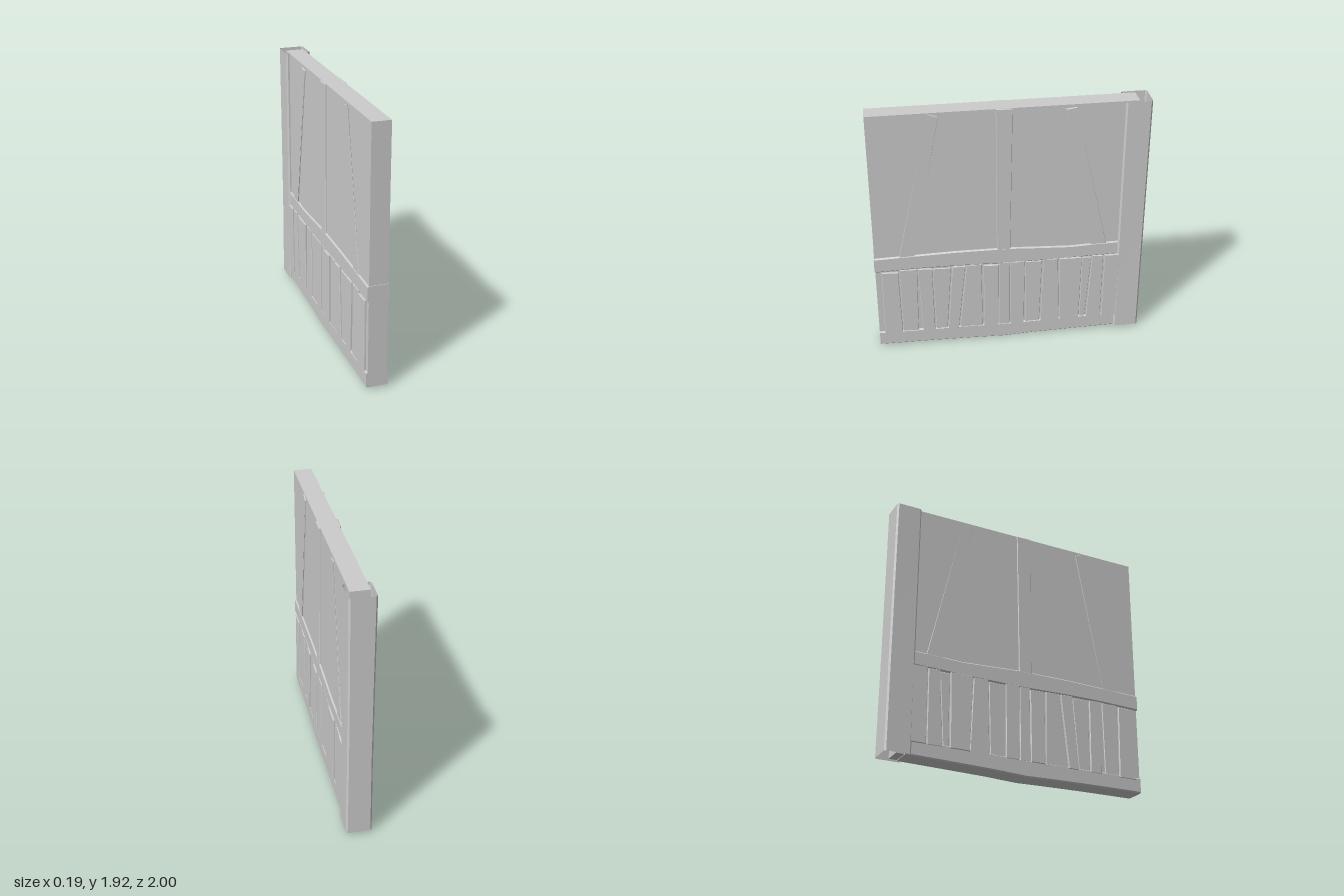
import * as THREE from 'three';
import { toCreasedNormals } from 'three/addons/utils/BufferGeometryUtils.js';

const plaster = new THREE.MeshStandardMaterial({ color: 0xcccccc });
plaster.name = 'light grey';
const shell = new THREE.MeshStandardMaterial({ color: 0xcccccc, side: THREE.DoubleSide });
shell.name = 'light grey shell';

// Skin a row of counter-clockwise rings [t, [[u, v], ...]] along an axis.
const place = {
  x: (u, v, t) => [t, u, v],
  y: (u, v, t) => [v, t, u],
  z: (u, v, t) => [u, v, t],
};
function loft(axis, sections, capped = true) {
  const rings = sections.map(([t, ring]) => ring.map(([u, v]) => place[axis](u, v, t)));
  const n = rings[0].length;
  const pos = [];
  const tri = (a, b, c) => pos.push(...a, ...b, ...c);
  for (let i = 0; i + 1 < rings.length; i++) {
    for (let j = 0; j < n; j++) {
      const k = (j + 1) % n;
      const [a, b, c, d] = [rings[i][j], rings[i][k], rings[i + 1][k], rings[i + 1][j]];
      tri(a, b, c);
      tri(a, c, d);
    }
  }
  if (capped) {
    const first = rings[0], last = rings[rings.length - 1];
    for (let j = 1; j + 1 < n; j++) {
      tri(first[0], first[j + 1], first[j]);
      tri(last[0], last[j], last[j + 1]);
    }
  }
  const g = new THREE.BufferGeometry();
  g.setAttribute('position', new THREE.Float32BufferAttribute(pos, 3));
  g.computeVertexNormals();
  return toCreasedNormals(g, 0.45);
}

// Rectangle with chamfered corners.
const chamfered = (u0, u1, v0, v1, c) => [
  [u0 + c, v0], [u1 - c, v0], [u1, v0 + c], [u1, v1 - c],
  [u1 - c, v1], [u0 + c, v1], [u0, v1 - c], [u0, v0 + c],
];

export function createModel() {
  const group = new THREE.Group();
  const add = (name, geometry, material = plaster) => {
    const mesh = new THREE.Mesh(geometry, material);
    mesh.name = name;
    group.add(mesh);
    return mesh;
  };

  // Main wall slab
  const wall = add('wallSlab', new THREE.BoxGeometry(0.136, 1.895, 1.905));
  wall.position.set(0, 0.9725, 0.0425);

  // Horizontal beams with hand-hewn waviness: [z, bottom, top]
  const beam = (name, w, stations) => add(name, loft('z',
    stations.map(([z, y0, y1]) => [z, chamfered(-w, w, y0, y1, 0.009)])));
  beam('middleRail', 0.079, [
    [-0.85, 0.675, 0.785], [-0.65, 0.672, 0.782], [-0.45, 0.668, 0.775], [-0.2, 0.666, 0.788],
    [0, 0.665, 0.8], [0.4, 0.676, 0.803], [0.7, 0.678, 0.797], [1, 0.67, 0.79],
  ]);
  beam('bottomRail', 0.08, [
    [-0.85, 0.02, 0.135], [-0.5, 0.015, 0.133], [-0.2, 0.01, 0.128], [0.05, 0, 0.123],
    [0.3, 0.008, 0.13], [0.6, 0.015, 0.132], [0.995, 0.02, 0.136],
  ]);

  // Boards run through the wall so they show on both faces.
  // Corners are [y, z] in order: low/right, high/right, high/left, low/left.
  const board = (name, w, corners) => {
    const cy = corners.reduce((s, c) => s + c[0], 0) / 4;
    const cz = corners.reduce((s, c) => s + c[1], 0) / 4;
    const inset = corners.map(([y, z]) => [
      y - Math.sign(y - cy) * 0.003, z - Math.sign(z - cz) * 0.003]);
    add(name, loft('x', [[-w, inset], [0.004 - w, corners], [w - 0.004, corners], [w, inset]]));
  };

  // Centre post and the two leaning braces
  board('centrePost', 0.078, [[0.72, 0], [1.918, -0.017], [1.92, 0.1], [0.72, 0.098]]);
  board('frontBrace', 0.076, [[0.72, 0.72], [1.89, 0.495], [1.915, 0.565], [0.72, 0.83]]);
  board('backBrace', 0.076, [[0.72, -0.735], [1.9, -0.465], [1.89, -0.39], [0.72, -0.617]]);

  // Lower planks: [bottom left z, bottom right z, top left z, top right z, half thickness]
  const planks = [
    [0.955, 0.82, 0.95, 0.83, 0.084],
    [0.815, 0.7, 0.82, 0.69, 0.077],
    [0.665, 0.575, 0.685, 0.58, 0.083],
    [0.565, 0.48, 0.575, 0.44, 0.076],
    [0.475, 0.395, 0.43, 0.335, 0.086],
    [0.385, 0.21, 0.325, 0.215, 0.078],
    [0.2, 0.09, 0.2, 0.085, 0.087],
    [0.085, 0.006, 0.083, 0.004, 0.079],
    [-0.005, -0.105, -0.003, -0.11, 0.083],
    [-0.115, -0.225, -0.118, -0.24, 0.076],
    [-0.235, -0.38, -0.25, -0.36, 0.08],
    [-0.385, -0.53, -0.37, -0.54, 0.089],
    [-0.54, -0.58, -0.545, -0.615, 0.076],
    [-0.59, -0.7, -0.62, -0.705, 0.083],
    [-0.71, -0.83, -0.715, -0.83, 0.09],
  ];
  planks.forEach(([bl, br, tl, tr, w], i) => {
    const top = i % 3 === 0 ? 0.662 : 0.672;
    board('plank' + (i + 1), w, [[0.115, br], [top, tr], [top + 0.004, tl], [0.115, bl]]);
  });

  // Hollow end post, open at top and bottom: [y, half width]
  const post = [[0.02, 0.094], [0.6, 0.09], [1.3, 0.091], [1.92, 0.094]].map(([y, w]) =>
    [y, chamfered(-1, -0.81, -w, w, 0.012)]);
  add('endPost', loft('y', post, false), shell);

  return group;
}
